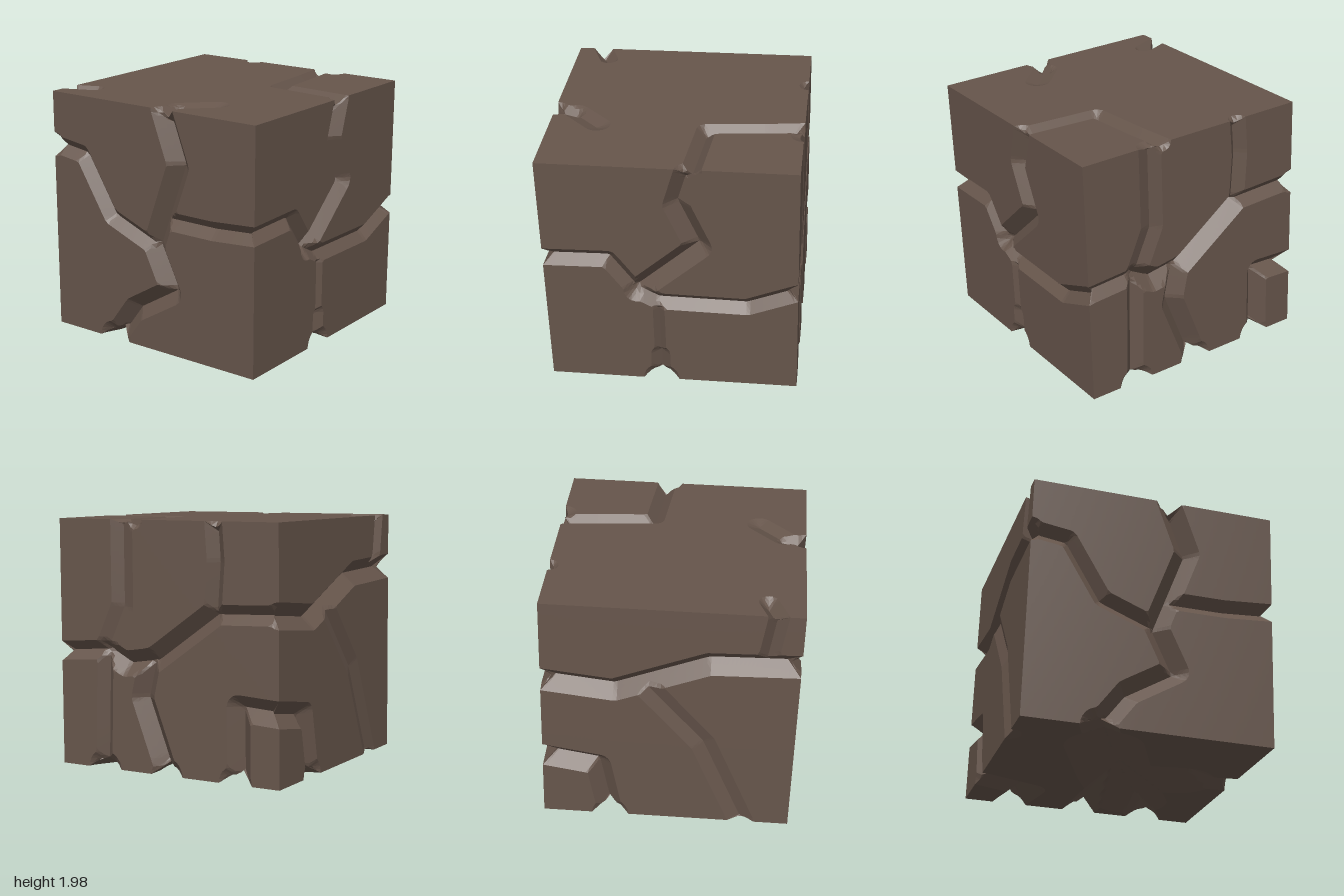
import * as THREE from 'three';

const HALF = 0.964; // half the edge of the block
const CELLS = 64;

// Crack profiles: half width and depth of the V cut
const broad = { width: 0.1, depth: 0.105 };
const fine = { width: 0.075, depth: 0.075 };
const hair = { width: 0.045, depth: 0.045 };
const faint = { width: 0.1, depth: 0.035 };
const gouge = { width: 0.14, depth: 0.12 };
const basin = { width: 0.3, depth: 0.16 };

// Faces of the block: side faces use (x or z, height), top and bottom use (x, z), edges at -1 and 1
const front = (u, v) => new THREE.Vector3(u, v, 1);
const back = (u, v) => new THREE.Vector3(u, v, -1);
const left = (u, v) => new THREE.Vector3(1, v, u);
const right = (u, v) => new THREE.Vector3(-1, v, u);
const top = (u, v) => new THREE.Vector3(u, 1, v);
const bottom = (u, v) => new THREE.Vector3(u, -1, v);

const segments = [];
function crack(face, profile, ...path) {
  const points = path.map(([u, v]) => face(u, v).multiplyScalar(HALF));
  for (let i = 1; i < points.length; i++) {
    segments.push({ line: new THREE.Line3(points[i - 1], points[i]), ...profile });
  }
}

function layOutCracks() {
  crack(front, broad, [0.17, 1], [0.07, 0.68], [0.23, 0.31], [-0.27, -0.13]);
  crack(front, fine, [-1, 0.15], [-0.48, 0.16], [-0.27, -0.13]);
  crack(front, fine, [-0.27, -0.13], [-0.1, -0.22], [0.6, -0.23], [1, -0.07]);
  crack(front, hair, [-0.1, -0.3], [-0.1, -0.75]);
  crack(front, fine, [-0.1, -0.75], [-0.1, -1]);

  crack(left, fine, [1, -0.07], [0.57, -0.04]);
  crack(left, broad, [0.57, -0.04], [0.38, -0.14], [0.12, -0.1], [-0.43, 0.29]);
  crack(left, fine, [-0.43, 0.29], [-1, 0.31]);
  crack(left, fine, [-0.44, 1], [-0.46, 0.7], [-0.43, 0.3]);
  crack(left, faint, [0.4, 1], [0.4, 0.32], [0.57, -0.05]);
  crack(left, fine, [0.57, -0.05], [0.6, -1]);
  crack(left, broad, [0.15, -0.1], [0.22, -0.4], [0.05, -0.85], [0, -1]);
  crack(left, broad, [-1, -0.43], [-0.65, -0.41], [-0.65, -1]);

  crack(back, broad, [1, 0.31], [0.43, 0.25], [-0.3, 0.54], [-1, 0.56]);
  crack(back, fine, [-0.73, 0.54], [-0.8, 1]);
  crack(back, faint, [0.18, 0.3], [-0.28, -0.22], [-0.62, -1]);
  crack(back, broad, [1, -0.43], [0.55, -0.5], [0.45, -1]);

  crack(right, broad, [0.12, 1], [0.28, 0.57], [0.03, -0.12], [0.2, -0.47], [-0.18, -0.7], [-0.4, -1]);
  crack(right, fine, [1, 0.15], [0.6, 0.12], [0.12, 0.12]);
  crack(right, fine, [-1, 0.56], [-0.7, 0.52], [-0.41, 0.05], [0.03, -0.12]);

  crack(top, fine, [0.19, 1], [0.24, 0.36], [0.7, 0.32], [1, 0.28]);
  crack(top, fine, [-1, 0.12], [-0.82, 0.16]);
  crack(top, faint, [-0.82, 0.16], [-0.62, 0.36]);
  crack(top, fine, [-0.8, -1], [-0.72, -0.8]);

  crack(bottom, gouge, [-0.1, 1], [0.05, 0.05], [-1, -0.4]);
  crack(bottom, gouge, [1, 0.6], [0.05, 0.05], [1, 0]);
  crack(bottom, gouge, [1, -0.62], [0.6, -0.55], [0.45, -1]);
  crack(bottom, basin, [-0.04, 0.55], [0.05, 0.05], [-0.6, -0.24]);
  crack(bottom, basin, [0.05, 0.05], [0.6, 0.35]);
}

const closest = new THREE.Vector3();
function distanceTo(segment, p) {
  segment.line.closestPointToPoint(p, true, closest);
  return closest.distanceTo(p);
}

// Pulls a grid point onto the nearest crack floor or rim so the chiselled edges stay straight
function snap(p) {
  let nearest = segments[0];
  for (const s of segments) {
    if (distanceTo(s, p) / s.width < distanceTo(nearest, p) / nearest.width) nearest = s;
  }
  const distance = distanceTo(nearest, p);
  const reach = HALF / CELLS;
  const target = closest.clone();
  if (distance >= reach) {
    if (Math.abs(distance - nearest.width) >= reach) return;
    target.lerp(p, nearest.width / distance);
  }
  // Points on a face or edge of the block stay on it
  for (const axis of ['x', 'y', 'z']) {
    if (Math.abs(p[axis]) < HALF - 0.0001) p[axis] = THREE.MathUtils.clamp(target[axis], -HALF, HALF);
  }
}

// Sinks the surface along every crack
function carve(p) {
  let depth = 0;
  for (const s of segments) {
    depth = Math.max(depth, s.depth * (1 - distanceTo(s, p) / s.width));
  }
  return p.clampScalar(depth - HALF, HALF - depth);
}

// How far the straight line between two grid points strays from the carved surface
function foldError(flat, carved, a, b) {
  const straight = carved[a].clone().lerp(carved[b], 0.5);
  return carve(flat[a].clone().lerp(flat[b], 0.5)).distanceTo(straight);
}

function carvedBlock() {
  const grid = new THREE.BoxGeometry(2 * HALF, 2 * HALF, 2 * HALF, CELLS, CELLS, CELLS);
  const position = grid.attributes.position;
  const flat = [];
  for (let i = 0; i < position.count; i++) {
    flat.push(new THREE.Vector3().fromBufferAttribute(position, i));
    snap(flat[i]);
  }
  const carved = flat.map((p) => carve(p.clone()));

  // Split each grid cell along the diagonal that follows the crack
  const corners = grid.index.array;
  const index = [];
  for (let i = 0; i < corners.length; i += 6) {
    const [a, b, d, , c] = corners.subarray(i, i + 6);
    if (foldError(flat, carved, a, c) < foldError(flat, carved, b, d)) index.push(a, b, c, a, c, d);
    else index.push(a, b, d, b, c, d);
  }
  grid.setIndex(index);

  // The block leans a little and its top and bottom slope
  carved.forEach((p, i) => position.setXYZ(i,
    p.x - 0.026 * p.y, p.y + 0.016 * p.x - 0.012 * p.z + 0.991, p.z + 0.023 * p.y));
  const faceted = grid.toNonIndexed();
  faceted.computeVertexNormals();
  return faceted;
}

export function createModel() {
  segments.length = 0;
  layOutCracks();

  const stone = new THREE.MeshStandardMaterial({ color: 0x66554b, flatShading: true });
  stone.name = 'brown stone';
  const block = new THREE.Mesh(carvedBlock(), stone);
  block.name = 'crackedStoneBlock';

  const model = new THREE.Group();
  model.name = 'stoneCube';
  model.add(block);
  return model;
}
